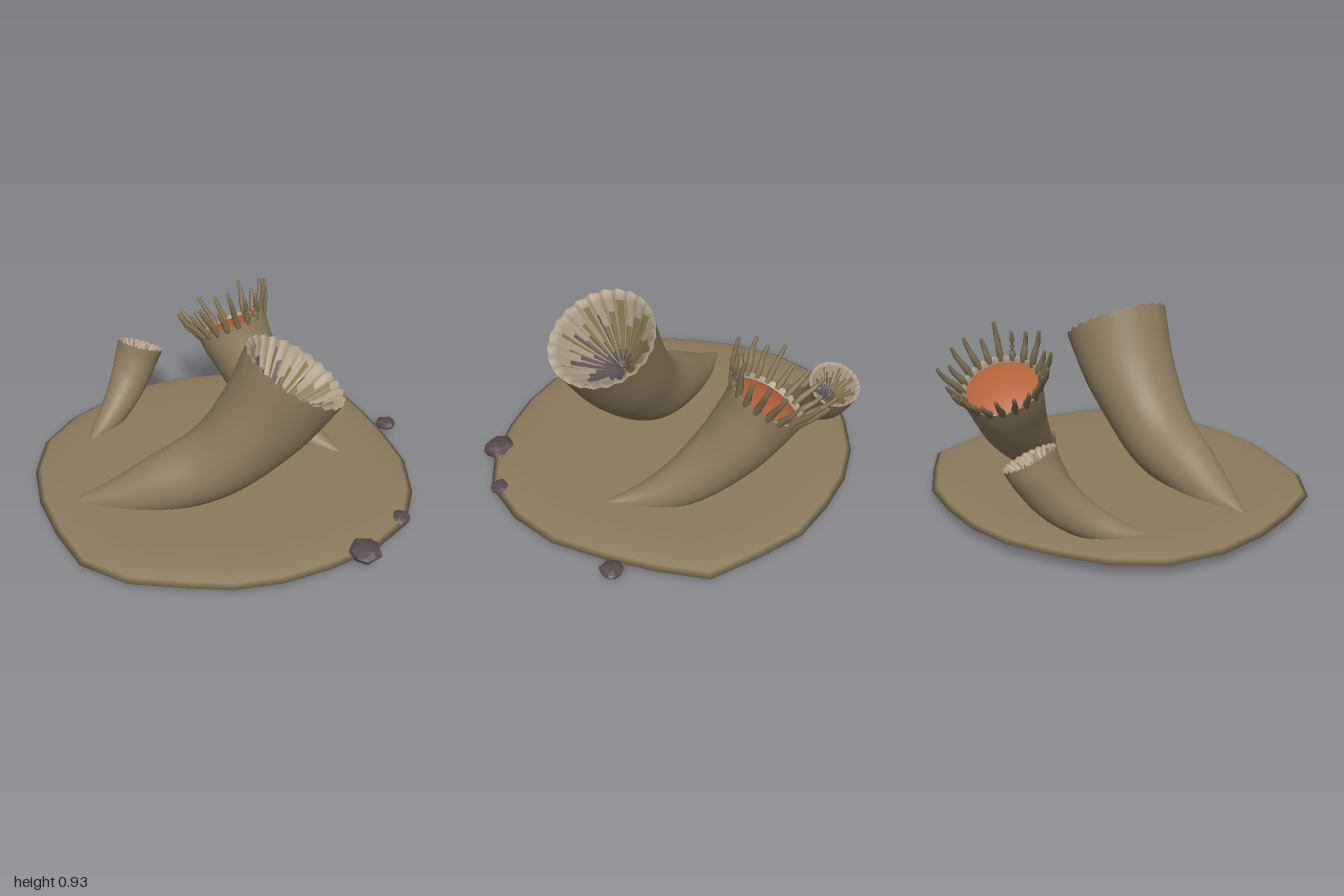
import * as THREE from 'three';

const mat = (name, color) => {
  const m = new THREE.MeshStandardMaterial({ color });
  m.name = name;
  return m;
};
const V = (x, y, z) => new THREE.Vector3(x, y, z);

// Skins a list of closed rings; pick(i, j) chooses the material slot of a quad
function skin(rings, pick = () => 0, slots = 1) {
  const n = rings[0].length;
  const faces = Array.from({ length: slots }, () => []);
  for (let i = 0; i < rings.length - 1; i++) {
    for (let j = 0; j < n; j++) {
      const k = (j + 1) % n;
      const a = i * n + j, b = i * n + k, c = a + n, d = b + n;
      faces[pick(i, j)].push(a, b, c, b, d, c);
    }
  }
  const g = new THREE.BufferGeometry().setFromPoints(rings.flat());
  g.setIndex(faces.flat());
  let start = 0;
  faces.forEach((f, s) => { g.addGroup(start, f.length, s); start += f.length; });
  g.computeVertexNormals();
  return g;
}

// Ring of n points round a centre, across direction t; fn(angle, j) gives [radius, shift along t]
function ring(centre, t, n, fn) {
  const side = V(0, 1, 0).cross(t).normalize();
  const up = t.clone().cross(side);
  return Array.from({ length: n }, (_, j) => {
    const a = (j / n) * Math.PI * 2;
    const [r, shift] = fn(a, j);
    return centre.clone().addScaledVector(side, r * Math.cos(a))
      .addScaledVector(up, r * Math.sin(a)).addScaledVector(t, shift);
  });
}

export function createModel() {
  const body = mat('tan skin', 0x8b7a5c);
  const lip = mat('pale lining', 0xac9c85);
  const olive = mat('olive lining', 0x86774f);
  const purple = mat('purple septa', 0x64585c);
  const orange = mat('orange flesh', 0xb4623a);
  const tentacleMat = mat('tentacle', 0x7c6e50);
  const rockMat = mat('dark rock', 0x56494b);

  const root = new THREE.Group();
  const add = (parent, name, geometry, material) => {
    const m = new THREE.Mesh(geometry, material);
    m.name = name;
    parent.add(m);
    return m;
  };

  // Base: thin lens with an uneven outline, one radius every 15 degrees from +x to +z
  const outline = [0.98, 1, 1.015, 0.97, 0.92, 0.905, 0.905, 0.91, 0.97, 1.005, 0.975, 0.98,
    1, 1.01, 0.975, 0.93, 0.92, 0.91, 0.91, 0.94, 0.955, 1.02, 0.965, 0.95];
  const profile = [[0, 0.02], [0.5, 0.022], [0.85, 0.034], [0.95, 0.042], [1, 0.06],
    [0.97, 0.077], [0.9, 0.092], [0.8, 0.098], [0.45, 0.1], [0, 0.1]];
  add(root, 'base', skin(profile.map(([f, y]) => outline.map((_, j) => {
    const a = (-j / 24) * Math.PI * 2;
    const r = f * outline[(24 - j) % 24 === 0 ? 0 : j];
    return V(r * Math.cos(a), y, -r * Math.sin(a));
  }).reverse())), body);

  // Curved horn tube from tip to mouth; stations are [x, y, z, radius]
  const N = 96;
  function horn(name, stations) {
    const group = new THREE.Group();
    group.name = name;
    root.add(group);
    const path = new THREE.CatmullRomCurve3(stations.map(s => V(s[0], s[1], s[2])));
    const radii = new THREE.CatmullRomCurve3(stations.map((s, i) => V(s[3], i * 0.1, 0)));
    const rings = [];
    const steps = 30;
    for (let i = 0; i <= steps; i++) {
      const u = i / steps;
      const r = Math.max(0.002, radii.getPoint(u).x);
      const wave = i === steps ? 0.03 : 0;
      rings.push(ring(path.getPoint(u), path.getTangent(u), N, a => [
        r * (1 + 0.012 * Math.sin(3 * a + 9 * u) + 0.012 * Math.sin(17 * u + a)),
        r * wave * Math.cos(24 * a)]));
    }
    add(group, 'hornWall', skin(rings), body);
    return { group, rim: rings[steps], centre: path.getPoint(1), axis: path.getTangent(1),
      r: stations.at(-1)[3] };
  }

  // Funnel lining with radial septa, streaked with darker colours towards the middle
  function lining({ group, rim, centre, axis, r }) {
    const steps = [[0.93, 0.02], [0.87, 0.12], [0.75, 0.32], [0.6, 0.52], [0.44, 0.72],
      [0.28, 0.9], [0.13, 1.03], [0, 1.1]];
    const rings = [rim, ...steps.map(([f, d], i) => ring(centre, axis, N, (a, j) => {
      const ridge = j % 4 === 0 ? 1 : 0;
      const lift = i === 0 ? 0.03 * Math.cos(24 * a) : i < 7 ? ridge * 0.07 : 0;
      return [r * f * (1 - (i > 0 ? 0.05 * ridge : 0)), r * (lift - d)];
    }))];
    const pick = (i, j) => {
      const septum = Math.floor(j / 4), part = j % 4;
      if (i >= 3 + (septum * 5) % 3 && part === 0) return 2;
      if (i >= 6 && septum % 2) return 2;
      return i >= 2 + (septum * 7) % 3 && i < 7 && part > 1 ? 1 : 0;
    };
    add(group, 'mouthLining', skin(rings, pick, 3), [lip, olive, purple]);
  }

  // Large open horn
  lining(horn('largeHorn', [
    [-0.79, 0.08, 0.28, 0.003], [-0.55, 0.1, 0.265, 0.095], [-0.33, 0.165, 0.25, 0.15],
    [-0.11, 0.25, 0.235, 0.185], [0.05, 0.37, 0.22, 0.21], [0.19, 0.535, 0.21, 0.24],
    [0.335, 0.785, 0.2, 0.275]]));

  // Small open horn
  lining(horn('smallHorn', [
    [-0.735, 0.085, -0.2, 0.003], [-0.67, 0.09, -0.33, 0.055], [-0.58, 0.16, -0.47, 0.085],
    [-0.51, 0.27, -0.58, 0.108], [-0.47, 0.36, -0.635, 0.12], [-0.445, 0.44, -0.665, 0.13]]));

  // Occupied horn with a fleshy disc and a crown of tentacles
  const host = horn('tentacledHorn', [
    [0.66, 0.085, -0.03, 0.003], [0.49, 0.1, -0.19, 0.08], [0.33, 0.2, -0.34, 0.13],
    [0.2, 0.36, -0.46, 0.165], [0.12, 0.5, -0.535, 0.185], [0.07, 0.62, -0.58, 0.2]]);
  const inner = (f, d) => ring(host.centre, host.axis, N, () => [host.r * f, host.r * d]);
  add(host.group, 'rimLip', skin([host.rim, inner(0.93, 0), inner(0.88, -0.2)]), lip);
  add(host.group, 'fleshDisc',
    skin([[0.9, -0.14], [0.75, -0.06], [0.5, 0], [0.25, 0.03], [0, 0.04]].map(p => inner(...p))), orange);

  const count = 20;
  const roots = ring(host.centre, host.axis, count, () => [host.r * 0.94, -0.02]);
  roots.forEach((p, i) => {
    const out = p.clone().sub(host.centre).addScaledVector(host.axis, 0.02).normalize();
    const len = 0.14 + 0.03 * Math.sin(i * 2.4);
    const at = (o, h) => p.clone().addScaledVector(out, o * len).addScaledVector(host.axis, h * len);
    const curve = new THREE.CatmullRomCurve3([at(0, 0), at(0.14, 0.35), at(0.38, 0.72), at(0.5, 1.1)]);
    const sizes = [0.014, 0.018, 0.017, 0.015, 0.013, 0.011, 0.009, 0];
    add(host.group, 'tentacle', skin(sizes.map((r, k) => {
      const u = Math.min(1, k / 6);
      return ring(curve.getPoint(u), curve.getTangent(u), 8, () => [r, k === 7 ? 0.004 : 0]);
    })), tentacleMat);
  });

  // Rocks on the edge of the base: squashed, uneven faceted lumps
  rockMat.flatShading = true;
  [[0.64, 0.07, 0.69, 0.085], [0.855, 0.07, 0.465, 0.053], [0.945, 0.07, -0.335, 0.057]]
    .forEach(([x, y, z, r], i) => {
      const g = new THREE.IcosahedronGeometry(r, 1);
      const p = g.attributes.position;
      const v = V(0, 0, 0);
      for (let k = 0; k < p.count; k++) {
        v.fromBufferAttribute(p, k);
        const q = v.clone().divideScalar(r);
        v.multiplyScalar(0.97 + 0.13 * Math.sin(5 * q.x + 3 * q.y + i * 2) * Math.cos(4 * q.z + 2 * q.y + i));
        p.setXYZ(k, v.x, v.y * 0.45, v.z);
      }
      g.computeVertexNormals();
      add(root, 'rock', g, rockMat).position.set(x, y, z);
    });

  return root;
}
